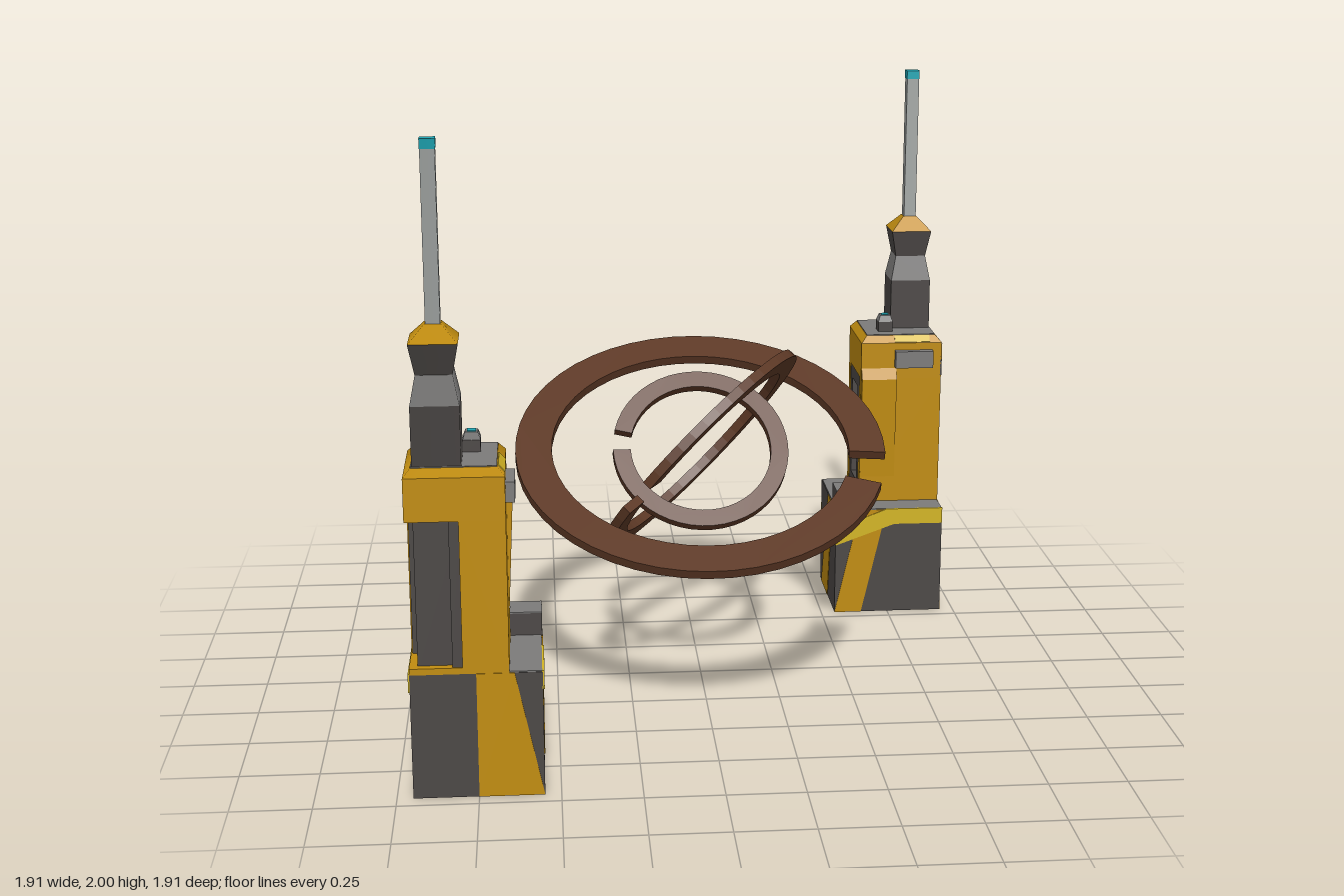
import * as THREE from 'three';

const mat = (name, color) => {
  const m = new THREE.MeshStandardMaterial({ color });
  m.name = name;
  return m;
};
const gold = mat('gold', 0xc08c10), dark = mat('charcoal', 0x4c4846), gray = mat('gray', 0x7c7b7a);
const pale = mat('pale steel', 0xa4a8a6), yellow = mat('yellow', 0xd2b424);
const cyan = mat('cyan', 0x1fa6b4), brown = mat('brown', 0x5c3825);

const shapeOf = pts => new THREE.Shape(pts.map(p => new THREE.Vector2(p[0], p[1])));

// box given by its two corners
function box(x0, x1, y0, y1, z0, z1) {
  return new THREE.BoxGeometry(x1 - x0, y1 - y0, z1 - z0)
    .translate((x0 + x1) / 2, (y0 + y1) / 2, (z0 + z1) / 2);
}

// square tapered block with half widths h0 (bottom) and h1 (top)
function taper(cx, cz, h0, h1, y0, y1) {
  return new THREE.CylinderGeometry(h1 * Math.SQRT2, h0 * Math.SQRT2, y1 - y0, 4)
    .rotateY(Math.PI / 4).translate(cx, (y0 + y1) / 2, cz);
}

// thin painted plate centred on a plane of constant z, points are [x, y]
function plateZ(pts, z, t = 0.006) {
  return new THREE.ExtrudeGeometry(shapeOf(pts), { depth: t, bevelEnabled: false }).translate(0, 0, z - t / 2);
}
// the same on a plane of constant x, points are [z, y]
function plateX(pts, x, t = 0.006) {
  return new THREE.ExtrudeGeometry(shapeOf(pts.map(p => [-p[0], p[1]])), { depth: t, bevelEnabled: false })
    .rotateY(Math.PI / 2).translate(x - t / 2, 0, 0);
}

// swap x and z, reversing the corner order so that faces stay outward
function swapXZ(geometry) {
  const g = geometry.index ? geometry.toNonIndexed() : geometry;
  const p = g.attributes.position, out = [];
  for (let i = 0; i < p.count; i += 3)
    for (const k of [i, i + 2, i + 1]) out.push(p.getZ(k), p.getY(k), p.getX(k));
  const r = new THREE.BufferGeometry();
  r.setAttribute('position', new THREE.Float32BufferAttribute(out, 3));
  r.computeVertexNormals();
  return r;
}

function makeTower(mirrored) {
  const tower = new THREE.Group();
  tower.name = mirrored ? 'backTower' : 'frontTower';
  const add = (name, geometry, material) => {
    const g = mirrored ? swapXZ(geometry) : geometry;
    const m = new THREE.Mesh(g, material);
    m.name = name;
    tower.add(m);
  };

  // base with its gray top and raised inner corner
  add('base', box(-0.95, -0.55, 0, 0.4, 0.55, 0.95), dark);
  add('baseTop', box(-0.948, -0.552, 0.4, 0.404, 0.552, 0.948), gray);
  add('cornerBlock', box(-0.65, -0.55, 0.4, 0.476, 0.55, 0.65), dark);
  add('cornerBlockTop', box(-0.65, -0.55, 0.476, 0.48, 0.55, 0.65), gray);

  // painted bands on the four base sides
  add('bandOuterFront', plateZ([[-0.75, 0], [-0.55, 0], [-0.635, 0.4], [-0.75, 0.4]], 0.949), gold);
  add('bandOuterSide', plateX([[0.75, 0], [0.55, 0], [0.635, 0.4], [0.75, 0.4]], -0.949), gold);
  add('bandInnerSide', plateX([[0.55, 0], [0.65, 0], [0.74, 0.4], [0.64, 0.4]], -0.551), gold);
  add('bandInnerBack', plateZ([[-0.74, 0], [-0.91, 0], [-0.76, 0.4], [-0.65, 0.4]], 0.551), gold);
  const stripe = [[0.95, 0.404], [0.74, 0.404], [0.55, 0.33], [0.55, 0.265], [0.77, 0.345], [0.95, 0.345]];
  add('stripeInner', plateX(stripe, -0.549, 0.007), yellow);
  add('stripeOuter', plateX(stripe, -0.951, 0.007), yellow);

  // body shell, notched at the outer corner and on the back
  const plan = [[-0.79, 0.95], [-0.65, 0.95], [-0.65, 0.65], [-0.69, 0.65], [-0.69, 0.69],
    [-0.91, 0.69], [-0.91, 0.65], [-0.95, 0.65], [-0.95, 0.79], [-0.79, 0.79]];
  add('body', new THREE.ExtrudeGeometry(shapeOf(plan.map(p => [p[0], -p[1]])), { depth: 0.48, bevelEnabled: false })
    .rotateX(-Math.PI / 2).translate(0, 0.4, 0), gold);
  add('bodyFoot', box(-0.95, -0.79, 0.4, 0.42, 0.79, 0.95), gold);
  add('cornerCore', box(-0.925, -0.78, 0.4, 0.9, 0.78, 0.925), dark);
  add('cornerPostFront', box(-0.82, -0.79, 0.42, 0.88, 0.79, 0.945), dark);
  add('cornerPostSide', box(-0.945, -0.79, 0.42, 0.88, 0.79, 0.82), dark);

  // recessed back panel and its frame
  add('backPanel', box(-0.91, -0.69, 0.4, 0.88, 0.68, 0.692), dark);
  const frame = shapeOf([[-0.91, 0.4], [-0.69, 0.4], [-0.69, 0.88], [-0.91, 0.88]]);
  frame.holes.push(new THREE.Path([[-0.87, 0.46], [-0.87, 0.83], [-0.74, 0.83], [-0.74, 0.46]]
    .map(p => new THREE.Vector2(p[0], p[1]))));
  add('backPanelFrame', new THREE.ExtrudeGeometry(frame, { depth: 0.03, bevelEnabled: false })
    .translate(0, 0, 0.652), dark);

  // cap with chamfered rim
  add('cap', box(-0.95, -0.65, 0.88, 1.015, 0.65, 0.95), gold);
  add('capRim', taper(-0.8, 0.8, 0.15, 0.128, 1.015, 1.04), gold);
  add('capTop', box(-0.927, -0.673, 1.038, 1.043, 0.673, 0.927), gray);
  add('rimMark', new THREE.BoxGeometry(0.006, 0.03, 0.13).rotateZ(0.72).translate(-0.661, 1.028, 0.84), yellow);
  add('sideBulge', new THREE.ExtrudeGeometry(shapeOf([[-0.65, 0.5], [-0.632, 0.88], [-0.65, 0.92]]),
    { depth: 0.13, bevelEnabled: false }).translate(0, 0, 0.652), gold);
  add('sidePanel', box(-0.65, -0.622, 0.925, 0.988, 0.775, 0.915), gray);
  if (mirrored)
    add('paintPatch', plateZ([[-0.65, 0.89], [-0.735, 0.9], [-0.69, 0.98], [-0.65, 1.01]], 0.949), dark);

  // small stub beside the mast
  add('stub', box(-0.777, -0.723, 1.04, 1.08, 0.723, 0.777), dark);
  add('stubTop', taper(-0.75, 0.75, 0.027, 0.019, 1.08, 1.103), gray);
  add('stubLight', box(-0.763, -0.737, 1.102, 1.106, 0.737, 0.763), cyan);

  // mast: half widths and heights from bottom to top
  const mast = [
    ['mastFoot', 0.073, 0.073, 1.04, 1.225, dark],
    ['mastShoulder', 0.073, 0.055, 1.225, 1.315, gray],
    ['mastFlare', 0.055, 0.073, 1.315, 1.41, dark],
    ['mastCollar', 0.073, 0.025, 1.41, 1.46, gold],
    ['mastPole', 0.022, 0.022, 1.46, 1.97, pale],
    ['mastTip', 0.023, 0.023, 1.97, 2, cyan],
  ];
  for (const [name, h0, h1, y0, y1, m] of mast) add(name, taper(-0.85, 0.85, h0, h1, y0, y1), m);
  return tower;
}

// flat open ring; the gap is centred on the given direction
function makeRing(name, outer, inner, normal, gapDir, gapDegrees) {
  const a = THREE.MathUtils.degToRad(gapDegrees / 2), b = Math.PI * 2 - a;
  const shape = new THREE.Shape();
  shape.absarc(0, 0, outer, a, b, false);
  shape.absarc(0, 0, inner, b, a, true);
  const t = 0.032;
  const g = new THREE.ExtrudeGeometry(shape, { depth: t, bevelEnabled: false, curveSegments: 24 }).translate(0, 0, -t / 2);
  const z = new THREE.Vector3(...normal).normalize();
  const x = new THREE.Vector3(...gapDir).projectOnPlane(z).normalize();
  const y = new THREE.Vector3().crossVectors(z, x);
  g.applyMatrix4(new THREE.Matrix4().makeBasis(x, y, z));
  const ring = new THREE.Mesh(g, brown);
  ring.name = name;
  ring.position.y = 0.81;
  return ring;
}

export function createModel() {
  const model = new THREE.Group();
  model.name = 'twinTowersWithRings';
  model.add(makeTower(false), makeTower(true));
  model.add(
    makeRing('largeRing', 0.63, 0.507, [0, 0.918, 0.396], [0.98, -0.09, 0.2], 15),
    makeRing('middleRing', 0.454, 0.37, [0.69, -0.64, 0.35], [-0.205, -0.05, 0.34], 16),
    makeRing('smallRing', 0.3, 0.24, [0.03, 0.707, 0.707], [-0.27, 0.02, -0.02], 15),
  );
  return model;
}
